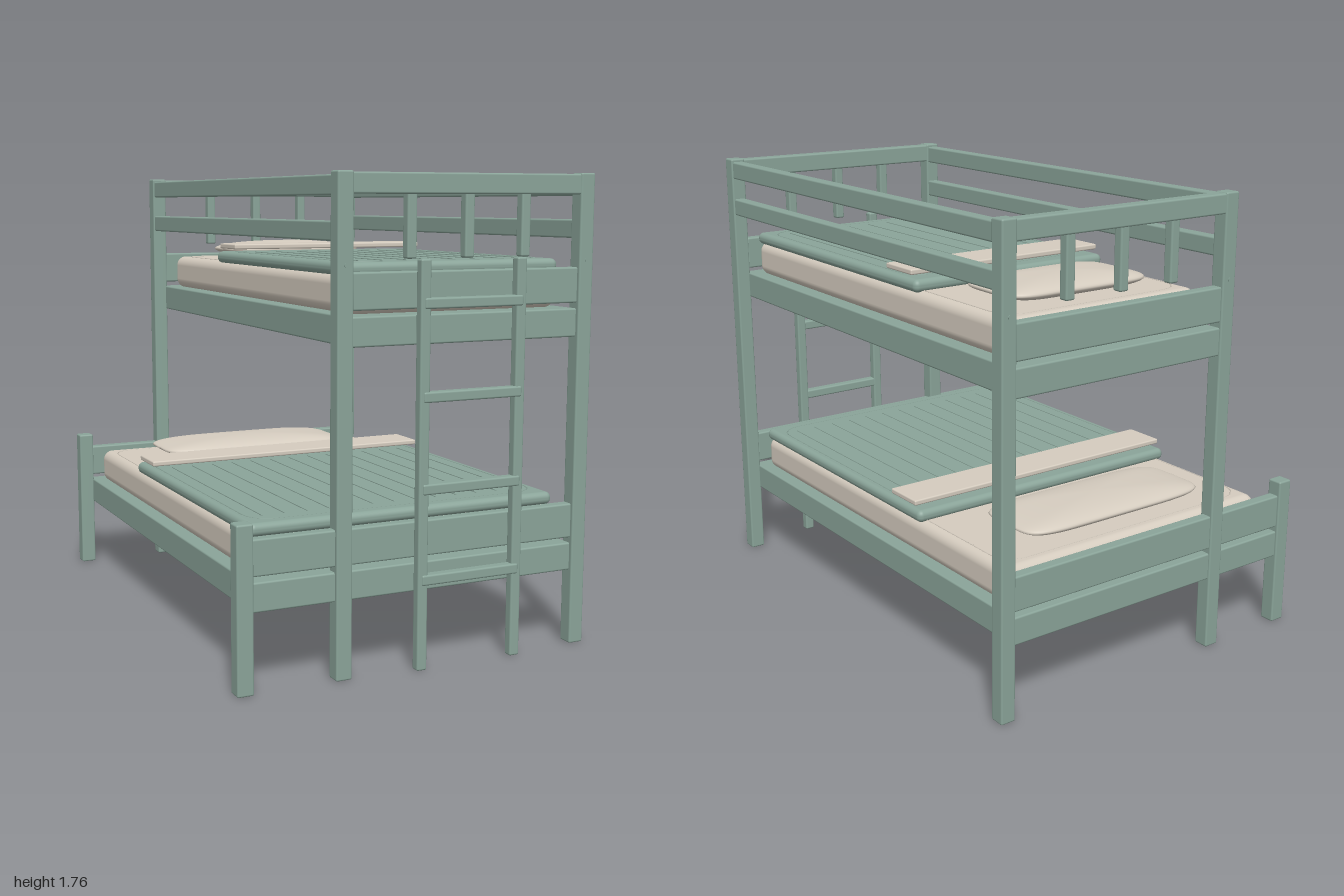
import * as THREE from 'three';
import { RoundedBoxGeometry } from 'three/addons/geometries/RoundedBoxGeometry.js';

const green = new THREE.MeshStandardMaterial({ color: 0x8aa499 });
green.name = 'sage green';
const cream = new THREE.MeshStandardMaterial({ color: 0xd5ccbf });
cream.name = 'cream linen';

// Box given by its limits on each axis, with softened edges
function block(parent, name, x, y, z, material = green, radius = 0.007) {
  const size = [x, y, z].map(([a, b]) => b - a);
  const r = Math.min(radius, Math.min(...size) * 0.45);
  const mesh = new THREE.Mesh(new RoundedBoxGeometry(...size, r > 0.01 ? 5 : 2, r), material);
  mesh.position.set((x[0] + x[1]) / 2, (y[0] + y[1]) / 2, (z[0] + z[1]) / 2);
  mesh.name = name;
  parent.add(mesh);
  return mesh;
}

// Thin cord following a rounded rectangle lying flat at height y
function piping(parent, name, [x0, x1], [z0, z1], y, corner, material) {
  const s = new THREE.Shape();
  s.moveTo(x0 + corner, z0);
  s.lineTo(x1 - corner, z0);
  s.absarc(x1 - corner, z0 + corner, corner, -Math.PI / 2, 0);
  s.lineTo(x1, z1 - corner);
  s.absarc(x1 - corner, z1 - corner, corner, 0, Math.PI / 2);
  s.lineTo(x0 + corner, z1);
  s.absarc(x0 + corner, z1 - corner, corner, Math.PI / 2, Math.PI);
  s.lineTo(x0, z0 + corner);
  s.absarc(x0 + corner, z0 + corner, corner, Math.PI, Math.PI * 1.5);
  const points = s.getSpacedPoints(100).slice(0, 100).map(p => new THREE.Vector3(p.x, y, p.y));
  const path = new THREE.CatmullRomCurve3(points, true);
  const mesh = new THREE.Mesh(new THREE.TubeGeometry(path, 140, 0.0025, 5, true), material);
  mesh.name = name;
  parent.add(mesh);
}

// Lens-shaped cushion with a rounded-rectangle outline
function pillow(parent, cx, cy, cz, halfX, halfY, halfZ) {
  const geometry = new THREE.SphereGeometry(1, 64, 24);
  const p = geometry.attributes.position;
  const soften = v => Math.sign(v) * Math.pow(Math.abs(v), 0.35);
  for (let i = 0; i < p.count; i++) {
    const x = p.getX(i), y = p.getY(i), z = p.getZ(i);
    const r = Math.hypot(x, z) || 1e-6;
    p.setXYZ(i, soften(x / r) * r * halfX, y * halfY, soften(z / r) * r * halfZ);
  }
  geometry.computeVertexNormals();
  const mesh = new THREE.Mesh(geometry, cream);
  mesh.position.set(cx, cy, cz);
  mesh.name = 'pillow';
  parent.add(mesh);
}

// Platform, end boards, mattress and bedding; y is the underside of the platform
function bunk(name, y, left, right, pillowX, pillowHalf) {
  const g = new THREE.Group();
  g.name = name;
  block(g, 'platform', [left, right], [y, y + 0.105], [-0.99, 0.955]);
  for (const z of [[-0.99, -0.945], [0.912, 0.957]])
    block(g, 'endBoard', [left, right], [y + 0.125, y + 0.255], z);

  const x = [left + 0.035, right - 0.032];
  const top = y + 0.243;
  block(g, 'mattress', x, [y + 0.103, top], [-0.91, 0.88], cream, 0.04);
  piping(g, 'mattressPiping', [x[0] + 0.035, x[1] - 0.035], [-0.855, 0.83], top, 0.09, cream);

  // Blanket with quilting seams
  const cover = y + 0.284;
  block(g, 'blanket', [x[0] - 0.003, x[1] + 0.005], [y + 0.236, cover], [-0.37, 0.87], green, 0.022);
  piping(g, 'blanketPiping', [x[0] + 0.03, x[1] - 0.03], [-0.3, 0.815], cover, 0.09, green);
  const count = Math.round((x[1] - x[0]) / 0.091);
  for (let i = 1; i < count; i++) {
    const sx = x[0] + (x[1] - x[0]) * i / count;
    block(g, 'blanketSeam', [sx - 0.002, sx + 0.002], [cover - 0.002, cover + 0.003], [-0.18, 0.76], green, 0.001);
  }

  // Folded sheet and pillow
  block(g, 'foldedSheet', [x[0], x[1]], [y + 0.297, y + 0.318], [-0.335, -0.165], cream, 0.006);
  pillow(g, pillowX, y + 0.282, -0.645, pillowHalf, 0.038, 0.17);
  return g;
}

export function createModel() {
  const model = new THREE.Group();
  model.name = 'bunkBed';

  const ends = [[-0.998, -0.938], [0.91, 0.97]];
  const bunkLeft = -0.285, lowLeft = -0.652, right = 0.645;

  // Posts, with a shorter pair for the wide lower bunk
  const frame = new THREE.Group();
  frame.name = 'frame';
  model.add(frame);
  for (const z of ends) {
    block(frame, 'tallPost', [-0.34, -0.279], [0, 1.757], z);
    block(frame, 'tallPost', [0.64, 0.7], [0, 1.757], z);
    block(frame, 'shortPost', [-0.71, -0.648], [0, 0.595], z);
  }

  // Guard rails along both long sides
  for (const x of [[-0.334, -0.286], [0.646, 0.694]]) {
    block(frame, 'upperGuardRail', x, [1.675, 1.745], [-0.95, 0.93]);
    block(frame, 'lowerGuardRail', x, [1.522, 1.59], [-0.95, 0.93]);
  }

  // Top end rails with hanging balusters, and bolt heads on the outer faces
  for (const [a, b] of ends) {
    const mid = (a + b) / 2;
    const side = Math.sign(mid);
    block(frame, 'topEndRail', [-0.3, 0.66], [1.68, 1.753], [a + 0.004, b - 0.004]);
    for (const x of [-0.05, 0.18, 0.413])
      block(frame, 'baluster', [x - 0.019, x + 0.019], [1.46, 1.69], [mid - 0.019, mid + 0.019]);
    for (const x of [-0.31, 0.67]) {
      const bolt = new THREE.Mesh(new THREE.CylinderGeometry(0.007, 0.007, 0.006, 12), green);
      bolt.rotation.x = Math.PI / 2;
      bolt.position.set(x, 1.443, side > 0 ? b : a);
      bolt.name = 'boltHead';
      frame.add(bolt);
    }
  }

  model.add(bunk('upperBunk', 1.163, bunkLeft, right, 0.195, 0.31));
  model.add(bunk('lowerBunk', 0.283, lowLeft, right, -0.003, 0.425));

  // Ladder on the front end
  const ladder = new THREE.Group();
  ladder.name = 'ladder';
  model.add(ladder);
  for (const x of [-0.013, 0.377])
    block(ladder, 'ladderStile', [x - 0.02, x + 0.02], [0, 1.46], [0.958, 0.995]);
  for (let i = 0; i < 4; i++) {
    const y = 0.33 + i * 0.326;
    block(ladder, 'ladderRung', [-0.018, 0.382], [y - 0.019, y + 0.019], [0.96, 1.0]);
  }
  return model;
}
